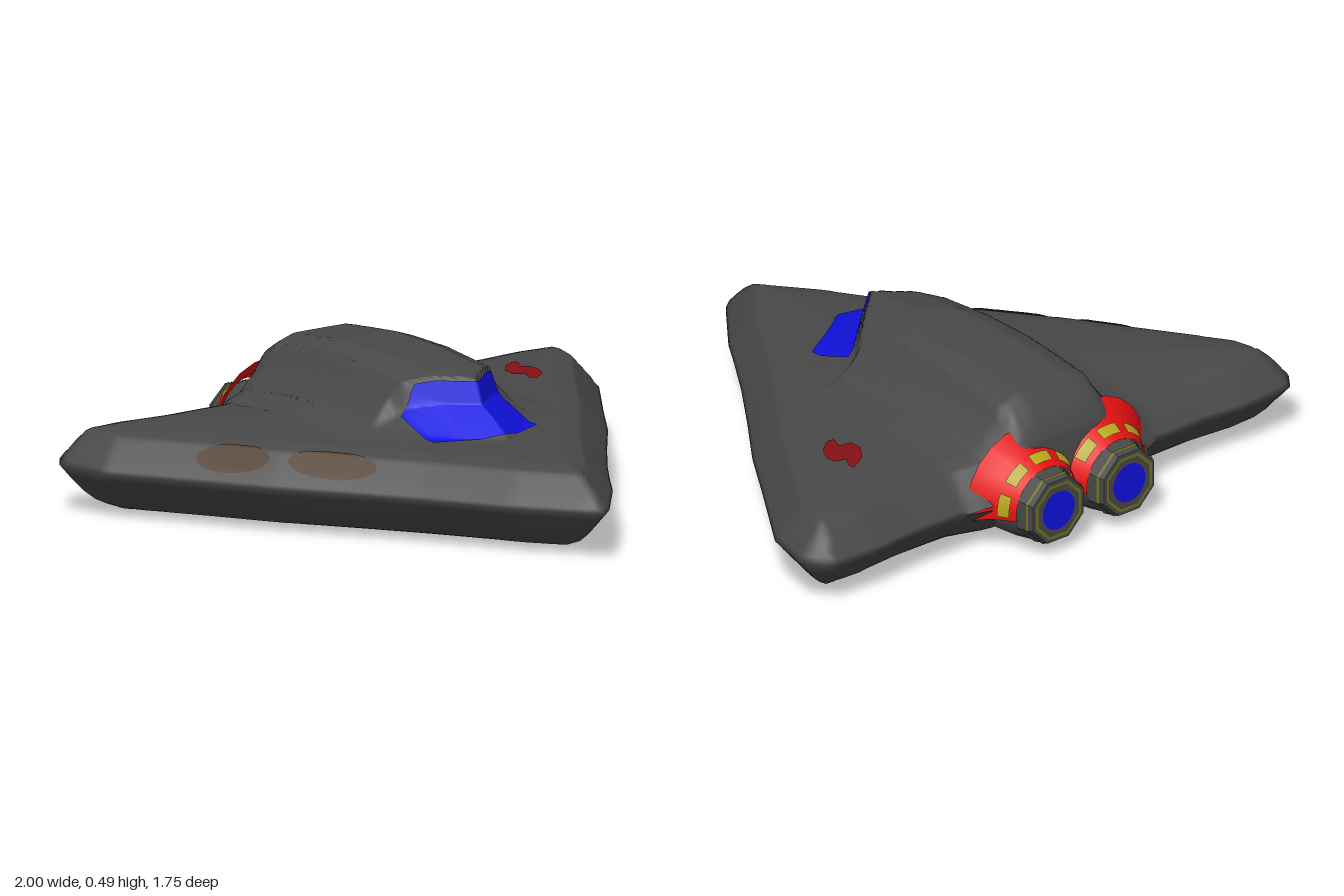
import * as THREE from 'three';
import { mergeGeometries, mergeVertices } from 'three/addons/utils/BufferGeometryUtils.js';

const V = (x, y) => new THREE.Vector2(x, y);

function paint(name, color) {
  const m = new THREE.MeshStandardMaterial({ color, side: THREE.DoubleSide });
  m.name = name;
  return m;
}

// Piecewise linear lookup over [position, value] pairs
function lookup(table, t) {
  if (t <= table[0][0]) return table[0][1];
  for (let i = 1; i < table.length; i++) {
    const [a, va] = table[i - 1], [b, vb] = table[i];
    if (t <= b) return va + (vb - va) * (t - a) / (b - a);
  }
  return table[table.length - 1][1];
}

// Delta planform (x, z), left half from the nose to the tail, then mirrored
const half = [[0, 0.87], [0.04, 0.84], [0.12, 0.74], [0.2, 0.64], [0.27, 0.53], [0.37, 0.38], [0.5, 0.2],
  [0.65, 0], [0.78, -0.2], [0.96, -0.47], [1, -0.64], [0.94, -0.72], [0.76, -0.73], [0.6, -0.715],
  [0.4, -0.72], [0.27, -0.765], [0, -0.77]];
const planform = [...half, ...half.slice(1, -1).reverse().map(([x, z]) => [-x, z])].map(([x, z]) => V(x, z));

function edgeDistance(x, z) {
  let best = Infinity;
  planform.forEach((a, i) => {
    const b = planform[(i + 1) % planform.length];
    const dx = b.x - a.x, dz = b.y - a.y;
    const t = THREE.MathUtils.clamp(((x - a.x) * dx + (z - a.y) * dz) / (dx * dx + dz * dz), 0, 1);
    best = Math.min(best, Math.hypot(x - a.x - t * dx, z - a.y - t * dz));
  });
  return best;
}

// Height rules: rounded wing edge plus a raised cabin
const topEdge = [[0, 0.16], [0.03, 0.2], [0.085, 0.265], [0.14, 0.28], [0.25, 0.29], [0.4, 0.3]];
const bottomEdge = [[0, 0.16], [0.09, 0.05], [0.14, 0.02], [0.21, 0.005], [0.3, 0]];
const cabinAcross = [[0, 1], [0.1, 1], [0.17, 0.87], [0.21, 0.5], [0.27, 0.13], [0.38, 0]];
const cabinFront = [[-0.04, 1], [0.19, 0.87], [0.22, 0.42], [0.37, 0]];
const cabinRear = [[-0.77, 0], [-0.75, 0.45], [-0.72, 0.6], [-0.63, 0.87], [-0.37, 1]];

function topHeight(x, z) {
  const ax = Math.abs(x);
  const front = lookup(cabinFront, z + 0.9 * Math.min(ax, 0.2));
  const lift = lookup(cabinAcross, ax) * Math.min(front, lookup(cabinRear, z));
  return THREE.MathUtils.lerp(lookup(topEdge, edgeDistance(x, z)), 0.485, lift);
}
const bottomHeight = (x, z) => lookup(bottomEdge, edgeDistance(x, z));

// Surface filling an outline with concentric rings, raised by a height rule
function disc(outline, cx, cz, rings, height, flip = false) {
  const pos = [], index = [], n = outline.length;
  for (let i = 0; i <= rings; i++) {
    for (const p of outline) {
      const x = cx + (p.x - cx) * i / rings, z = cz + (p.y - cz) * i / rings;
      pos.push(x, height(x, z), z);
    }
  }
  for (let i = 0; i < rings; i++) {
    for (let j = 0; j < n; j++) {
      const k = (j + 1) % n;
      const a = i * n + j, b = a + n, c = (i + 1) * n + k, d = i * n + k;
      const tris = i === 0 ? [[a, b, c]] : [[a, b, c], [a, c, d]];
      for (const t of tris) index.push(...(flip ? t.reverse() : t));
    }
  }
  const g = new THREE.BufferGeometry();
  g.setAttribute('position', new THREE.Float32BufferAttribute(pos, 3));
  g.setIndex(index);
  g.computeVertexNormals();
  return g;
}

// Evenly spaced points on a closed polygon
function resample(points, count) {
  return new THREE.Shape([...points, points[0]]).getSpacedPoints(count).slice(0, count);
}

// Revolved strip along z; points are [radius, distance behind the origin], angle 0 is up
function turned(points, segments, start = 0, sweep = Math.PI * 2, flat = false) {
  let g = new THREE.LatheGeometry(points.map(([r, h]) => V(r, h)), segments, start, sweep);
  g.rotateX(-Math.PI / 2);
  if (flat) {
    g = g.toNonIndexed();
    g.computeVertexNormals();
  }
  return g;
}

export function createModel() {
  const group = new THREE.Group();
  const hullGrey = paint('hull grey', 0x484848);
  const blue = paint('glass blue', 0x1010e0);
  const red = paint('engine red', 0xe81010);
  const yellow = paint('marking yellow', 0xb5a51c);
  const olive = paint('rim olive', 0x74741c);
  const brown = paint('patch brown', 0x462c10);
  const darkRed = paint('patch dark red', 0x851014);

  const add = (parent, name, geometry, material) => {
    const mesh = new THREE.Mesh(geometry, material);
    mesh.name = name;
    parent.add(mesh);
  };

  // Hull: upper and lower skins welded along the wing edge
  const rim = resample(planform, 240);
  const skins = mergeGeometries([
    disc(rim, 0, -0.1, 70, topHeight),
    disc(rim, 0, -0.1, 30, bottomHeight, true),
  ]);
  skins.deleteAttribute('normal');
  const hull = mergeVertices(skins, 1e-4);
  hull.computeVertexNormals();
  add(group, 'hull', hull, hullGrey);

  // Windscreen wrapped over the front of the cabin
  const glass = [[0, 0.345], [0.2, 0.235], [0.2, 0.06], [0.15, 0.06], [0, 0.195],
    [-0.15, 0.06], [-0.2, 0.06], [-0.2, 0.235]].map(([x, z]) => V(x, z));
  const screen = disc(resample(glass, 120), 0, 0.26, 30, (x, z) => topHeight(x, z) + 0.005);
  screen.translate(0, 0, 0.007);
  add(group, 'windscreen', screen, blue);

  // Worn patches on the wings
  const onWing = (x, z) => topHeight(x, z) + 0.005;
  for (const [cx, cz, length, width] of [[-0.685, -0.155, 0.12, 0.033], [-0.495, 0.11, 0.145, 0.033]]) {
    const bean = new THREE.EllipseCurve(cx, cz, length, width, 0, Math.PI * 2, true, 0.95);
    add(group, 'brownPatch', disc(bean.getPoints(32).slice(0, 32), cx, cz, 8, onWing), brown);
  }
  const scuff = [[0.62, -0.45], [0.56, -0.42], [0.515, -0.36], [0.515, -0.315], [0.56, -0.3], [0.535, -0.26],
    [0.56, -0.25], [0.61, -0.29], [0.635, -0.34], [0.63, -0.38], [0.58, -0.395], [0.62, -0.42]];
  add(group, 'redPatch', disc(resample(scuff.map(([x, z]) => V(x, z)), 48), 0.575, -0.35, 6, onWing), darkRed);

  // Twin engines, mirrored
  const deg = Math.PI / 180;
  for (const side of [1, -1]) {
    const engine = new THREE.Group();
    engine.name = side > 0 ? 'leftEngine' : 'rightEngine';
    engine.position.set(0.145 * side, 0.155, 0);
    add(engine, 'housing', turned([[0.145, 0.6], [0.135, 0.74], [0.12, 0.82]], 16), hullGrey);
    add(engine, 'redCowl', turned([[0.22, 0.69], [0.165, 0.745], [0.126, 0.82]], 12, -100 * deg, 200 * deg), red);
    for (const angle of [-42, -2, 38, 80]) {
      const start = (angle * side - 14) * deg;
      add(engine, 'yellowMark', turned([[0.16, 0.768], [0.141, 0.803]], 4, start, 28 * deg), yellow);
    }
    add(engine, 'nozzle', turned([[0.126, 0.815], [0.112, 0.875], [0.064, 0.875], [0.062, 0.86]],
      8, Math.PI / 8, Math.PI * 2, true), hullGrey);
    add(engine, 'nozzleBand', turned([[0.121, 0.851], [0.119, 0.859]], 8, Math.PI / 8, Math.PI * 2, true), olive);
    add(engine, 'nozzleRim', turned([[0.1, 0.877], [0.09, 0.877]], 8, Math.PI / 8, Math.PI * 2, true), olive);
    const glow = new THREE.CircleGeometry(0.066, 16);
    glow.rotateY(Math.PI);
    glow.translate(0, 0, -0.877);
    add(engine, 'engineGlow', glow, blue);
    group.add(engine);
  }
  return group;
}
